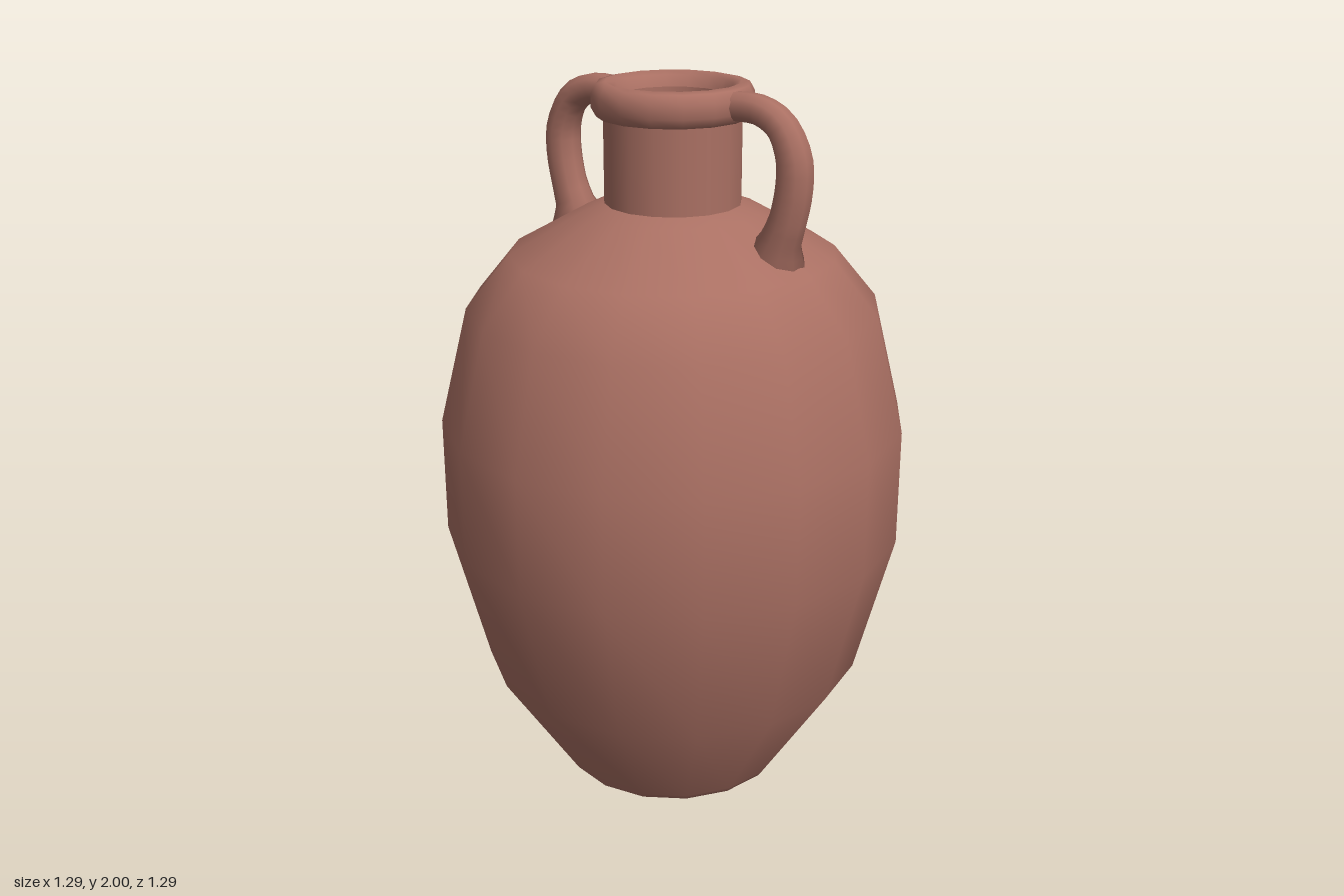
import * as THREE from 'three';

const clay = new THREE.MeshStandardMaterial({ color: 0xaa7063 });
const SIDES = 16;

// Revolved section; separate sections meet in sharp edges
function turned(name, profile) {
  const points = profile.map(([r, y]) => new THREE.Vector2(r, y));
  const mesh = new THREE.Mesh(new THREE.LatheGeometry(points, SIDES), clay);
  mesh.name = name;
  return mesh;
}

// Tube along a curve whose radius follows the given list
function taperedTube(path, radii, steps, sides) {
  const curve = new THREE.CatmullRomCurve3(path.map(([x, y]) => new THREE.Vector3(x, y, 0)));
  const geo = new THREE.TubeGeometry(curve, steps, 1, sides);
  const pos = geo.attributes.position;
  const v = new THREE.Vector3();
  for (let i = 0; i <= steps; i++) {
    const u = i / steps;
    const centre = curve.getPointAt(u);
    const t = curve.getUtoTmapping(u) * (radii.length - 1);
    const k = Math.min(Math.floor(t), radii.length - 2);
    const radius = THREE.MathUtils.lerp(radii[k], radii[k + 1], t - k);
    for (let j = 0; j <= sides; j++) {
      const n = i * (sides + 1) + j;
      v.fromBufferAttribute(pos, n).sub(centre).multiplyScalar(radius).add(centre);
      pos.setXYZ(n, v.x, v.y, v.z);
    }
  }
  return geo;
}

export function createModel() {
  const jar = new THREE.Group();
  jar.name = 'jar';

  // Recessed base and foot ring
  jar.add(turned('baseRecess', [[0, 0.05], [0.27, 0.05]]));
  jar.add(turned('footRing', [[0.27, 0.05], [0.28, 0.01], [0.3, 0], [0.32, 0.005], [0.33, 0.02]]));

  // Swelling body up to the shoulder
  jar.add(turned('body', [
    [0.33, 0.02], [0.54, 0.345], [0.645, 0.755], [0.645, 1.08],
    [0.565, 1.4], [0.445, 1.545], [0.24, 1.66], [0.185, 1.68],
  ]));

  // Neck and rolled rim
  jar.add(turned('neck', [[0.185, 1.67], [0.185, 1.91]]));
  jar.add(turned('rim', [
    [0.185, 1.91], [0.203, 1.91], [0.217, 1.935], [0.217, 1.97],
    [0.203, 1.995], [0.18, 2], [0.158, 1.99], [0.145, 1.96],
  ]));

  // Hollow inside
  jar.add(turned('neckInside', [[0.145, 1.96], [0.145, 1.64]]));
  jar.add(turned('bodyInside', [
    [0.145, 1.64], [0.41, 1.51], [0.52, 1.38], [0.6, 1.07],
    [0.6, 0.77], [0.49, 0.37], [0.29, 0.11], [0, 0.09],
  ]));

  // Pair of looped handles, flaring where they join the shoulder
  const handleGeo = taperedTube(
    [[0.185, 1.955], [0.28, 1.953], [0.345, 1.92], [0.385, 1.845], [0.388, 1.77], [0.37, 1.68], [0.35, 1.625], [0.335, 1.575]],
    [0.038, 0.039, 0.043, 0.049, 0.05, 0.05, 0.056, 0.085],
    18, 10,
  );
  for (const [name, turn] of [['leftHandle', 0], ['rightHandle', Math.PI]]) {
    const handle = new THREE.Mesh(handleGeo, clay);
    handle.name = name;
    handle.rotation.y = turn;
    jar.add(handle);
  }
  return jar;
}
